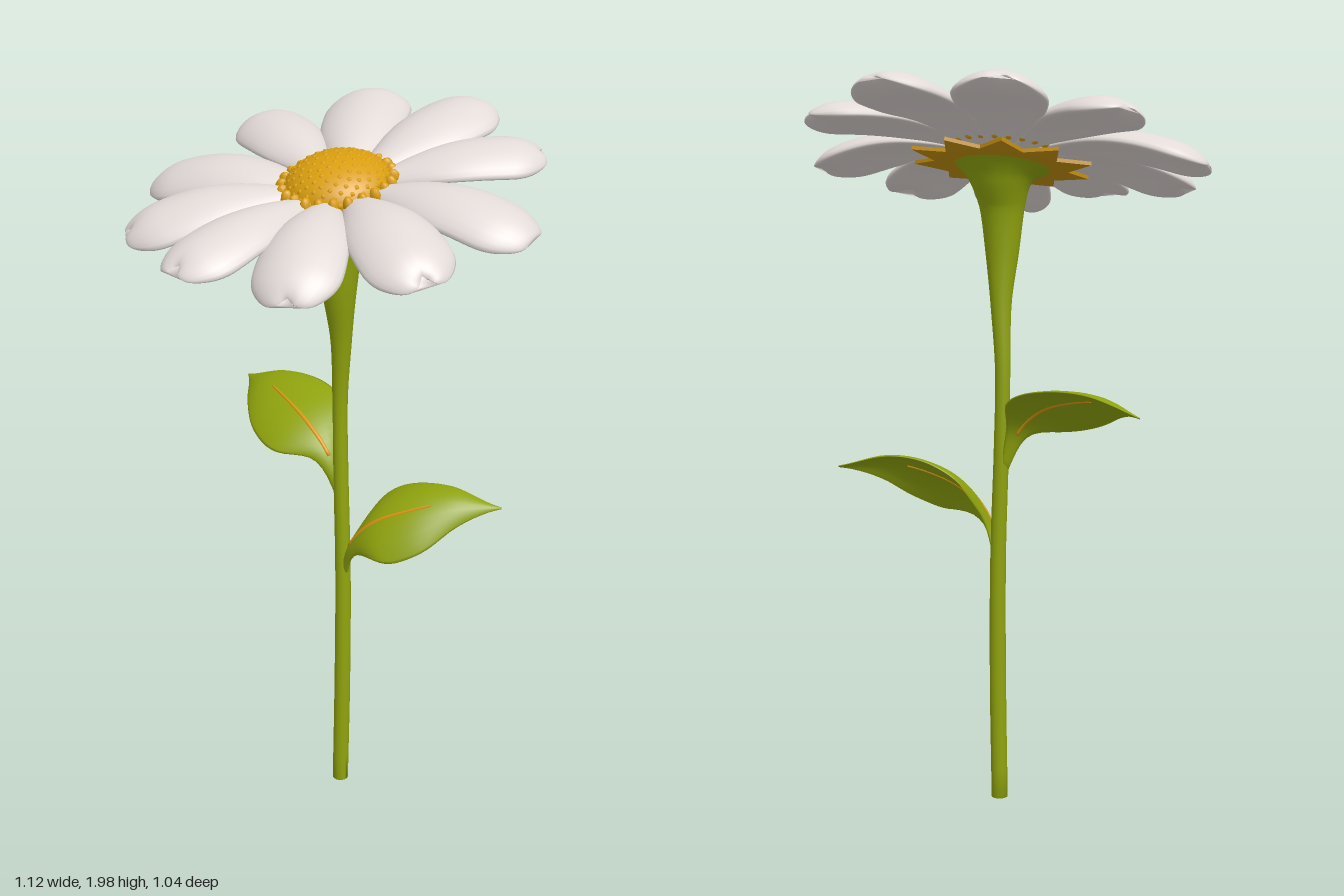
import * as THREE from 'three';
import { mergeGeometries } from 'three/addons/utils/BufferGeometryUtils.js';

const mat = (name, color, extra = {}) => Object.assign(new THREE.MeshStandardMaterial({ color, ...extra }), { name });
const V = (p) => new THREE.Vector3(...p);

// Smooth function of u in 0..1 through evenly spaced values
function ramp(values) {
  const c = new THREE.SplineCurve(values.map((v, i) => new THREE.Vector2(i, v)));
  return (u) => Math.max(c.getPoint(u).y, 0.0005);
}

// Sweeps an oval section along a path: half widths, half thicknesses, drooping edges, notched or rounded end
function sweep({ path, side, width, thick, cup = 0, notch = 0, round = 0, from = 0, to = 1, rows = 32, cols = 20 }) {
  const curve = new THREE.CatmullRomCurve3(path.map(V));
  const w = ramp(width), h = ramp(thick), pos = [], index = [];
  for (let i = 0; i <= rows; i++) {
    const u = from + (to - from) * Math.sin(i / rows * Math.PI / 2);
    const p = curve.getPoint(u), t = curve.getTangent(u);
    const s = V(side).addScaledVector(t, -V(side).dot(t)).normalize();
    const n = t.clone().cross(s);
    const e = round ? Math.max(0, (u - 1 + round) / round) : 0;
    const close = Math.sqrt(Math.max(0.001, 1 - e * e));
    const wu = w(u) * (0.35 + 0.65 * close), hu = h(u) * close;
    for (let j = 0; j < cols; j++) {
      const a = j / cols * Math.PI * 2, c = Math.cos(a);
      const q = p.clone().addScaledVector(s, wu * c)
        .addScaledVector(n, hu * Math.sin(a) - cup * wu * c * c)
        .addScaledVector(t, -notch * u ** 8 * Math.exp(-9 * c * c));
      pos.push(q.x, q.y, q.z);
      if (i < rows) {
        const k = i * cols, m = (j + 1) % cols;
        index.push(k + j, k + m, k + cols + j, k + m, k + cols + m, k + cols + j);
      }
    }
  }
  // end caps
  const end = rows * cols;
  for (let j = 1; j < cols - 1; j++) index.push(0, j + 1, j, end, end + j, end + j + 1);
  const g = new THREE.BufferGeometry();
  g.setAttribute('position', new THREE.Float32BufferAttribute(pos, 3));
  g.setIndex(index);
  g.computeVertexNormals();
  return g;
}

export function createModel() {
  const root = new THREE.Group();
  root.name = 'daisy';
  const white = mat('petal white', 0xe2dad7);
  const gold = mat('disc gold', 0xd99e0e);
  const ochre = mat('sepal ochre', 0xc4900f, { side: THREE.DoubleSide });
  const orange = mat('midrib orange', 0xd9960f);
  const green = mat('stem green', 0x8fa30d);
  const add = (parent, name, geo, material) => {
    const m = new THREE.Mesh(geo, material);
    m.name = name;
    parent.add(m);
    return m;
  };

  // Stem, flaring into the flower head
  const radii = [0.023, 0.023, 0.022, 0.021, 0.021, 0.029, 0.046, 0.062, 0.088, 0.15];
  add(root, 'stem', sweep({
    path: [[0.012, 0, -0.01], [0.015, 0.35, -0.015], [0.01, 0.7, -0.024], [-0.004, 1.0, -0.033], [-0.01, 1.22, -0.037],
      [-0.002, 1.4, -0.03], [0, 1.54, -0.018], [0, 1.66, -0.018], [0, 1.73, -0.024], [0, 1.785, -0.014]],
    side: [1, 0, 0], width: radii, thick: radii, rows: 60,
  }), green);

  // Leaves, each with a golden midrib showing on both faces
  const leaves = [
    { name: 'leftLeaf', side: [-0.2, 0.6, -0.75], size: 0.118, cup: 0.34,
      path: [[0.012, 0.7, -0.025], [0.05, 0.805, -0.015], [0.11, 0.88, -0.02], [0.2, 0.93, -0.05], [0.3, 0.96, -0.11], [0.42, 0.95, -0.19]] },
    { name: 'rightLeaf', side: [-0.35, -0.45, 0.85], size: 0.125, cup: 0.2,
      path: [[-0.01, 0.95, -0.032], [-0.05, 1.055, -0.03], [-0.12, 1.115, -0.045], [-0.23, 1.15, -0.09], [-0.35, 1.16, -0.15], [-0.47, 1.13, -0.225]] },
  ];
  for (const { name, side, size, cup, path } of leaves) {
    const leaf = new THREE.Group();
    leaf.name = name;
    root.add(leaf);
    add(leaf, 'leafBlade', sweep({
      path, side, cup, rows: 36, thick: [0.012, 0.009, 0.007, 0.007, 0.006, 0.002],
      width: [0.014, 0.34 * size, 0.96 * size, size, 0.6 * size, 0.003],
    }), green);
    add(leaf, 'leafMidrib', sweep({
      path, side, from: 0.18, to: 0.72, cols: 12,
      width: [0.008, 0.008, 0.008, 0.006, 0.004, 0.002], thick: [0.015, 0.012, 0.01, 0.01, 0.009, 0.004],
    }), orange);
  }

  // Tilted flower head
  const head = new THREE.Group();
  head.name = 'flowerHead';
  head.position.set(0, 1.81, -0.014);
  head.rotation.x = 0.22;
  root.add(head);

  // Petals: tip x, tip z, tip lift, half width, notch depth
  const petals = [
    [0.13, -0.513, 0.045, 0.122, 0.01], [0.4, -0.355, 0.005, 0.106, 0.015], [0.558, -0.005, -0.04, 0.106, 0.0],
    [0.435, 0.285, -0.04, 0.114, 0.03], [0.168, 0.48, -0.045, 0.112, 0.02], [-0.115, 0.54, 0.015, 0.108, 0.03],
    [-0.415, 0.37, -0.02, 0.114, 0.025], [-0.562, 0.065, -0.035, 0.108, 0.01], [-0.455, -0.275, 0.02, 0.104, 0.015],
    [-0.2, -0.485, 0.045, 0.118, 0.012],
  ];
  petals.forEach(([x, z, lift, half, notch], i) => {
    const length = Math.hypot(x, z), path = [];
    for (let k = 0; k <= 8; k++) {
      const u = k / 8;
      path.push([0, lift * u * u + 0.035 * Math.sin(Math.PI * u), 0.08 + (length - 0.08) * u]);
    }
    const petal = add(head, 'petal' + (i + 1), sweep({
      path, side: [1, 0, 0], notch, cup: 0.24, round: 0.22, rows: 40, cols: 24,
      width: [0.28, 0.42, 0.63, 0.82, 0.94, 1, 1.02, 0.98, 0.88].map((v) => v * half),
      thick: [0.014, 0.017, 0.02, 0.023, 0.026, 0.028, 0.029, 0.029, 0.026],
    }), white);
    petal.rotation.y = Math.atan2(x, z);
  });

  // Pointed sepals beneath the petals
  const star = new THREE.Shape();
  for (let i = 0; i < 20; i++) {
    const a = i / 20 * Math.PI * 2 + 0.1, r = i % 2 ? 0.18 : 0.25;
    star[i ? 'lineTo' : 'moveTo'](r * Math.cos(a), r * Math.sin(a));
  }
  const sepals = new THREE.ExtrudeGeometry(star, { depth: 0.01, bevelEnabled: false });
  sepals.rotateX(-Math.PI / 2);
  const sp = sepals.attributes.position;
  for (let i = 0; i < sp.count; i++) {
    sp.setY(i, sp.getY(i) - 0.06 + 0.08 * Math.hypot(sp.getX(i), sp.getZ(i)));
  }
  sepals.computeVertexNormals();
  add(head, 'sepals', sepals, ochre);

  // Domed disc with small florets and a toothed rim
  const dome = new THREE.SphereGeometry(0.143, 40, 14, 0, Math.PI * 2, 0, Math.PI / 2);
  dome.scale(1, 0.6, 1);
  dome.translate(0, 0.006, 0);
  add(head, 'disc', dome, gold);
  const florets = [];
  for (let i = 0; i < 170; i++) {
    const c = 1 - (i + 0.5) / 170 * 0.95, r = Math.sqrt(1 - c * c), a = i * 2.39996;
    florets.push(new THREE.SphereGeometry(0.009, 6, 5)
      .translate(0.138 * r * Math.cos(a), 0.003 + 0.083 * c, 0.138 * r * Math.sin(a)));
  }
  for (let i = 0; i < 24; i++) {
    florets.push(new THREE.SphereGeometry(0.017, 8, 6).scale(1.1, 1.5, 0.85)
      .translate(0.142, 0.018, 0).rotateY(i / 24 * Math.PI * 2));
  }
  add(head, 'discFlorets', mergeGeometries(florets), gold);
  return root;
}
